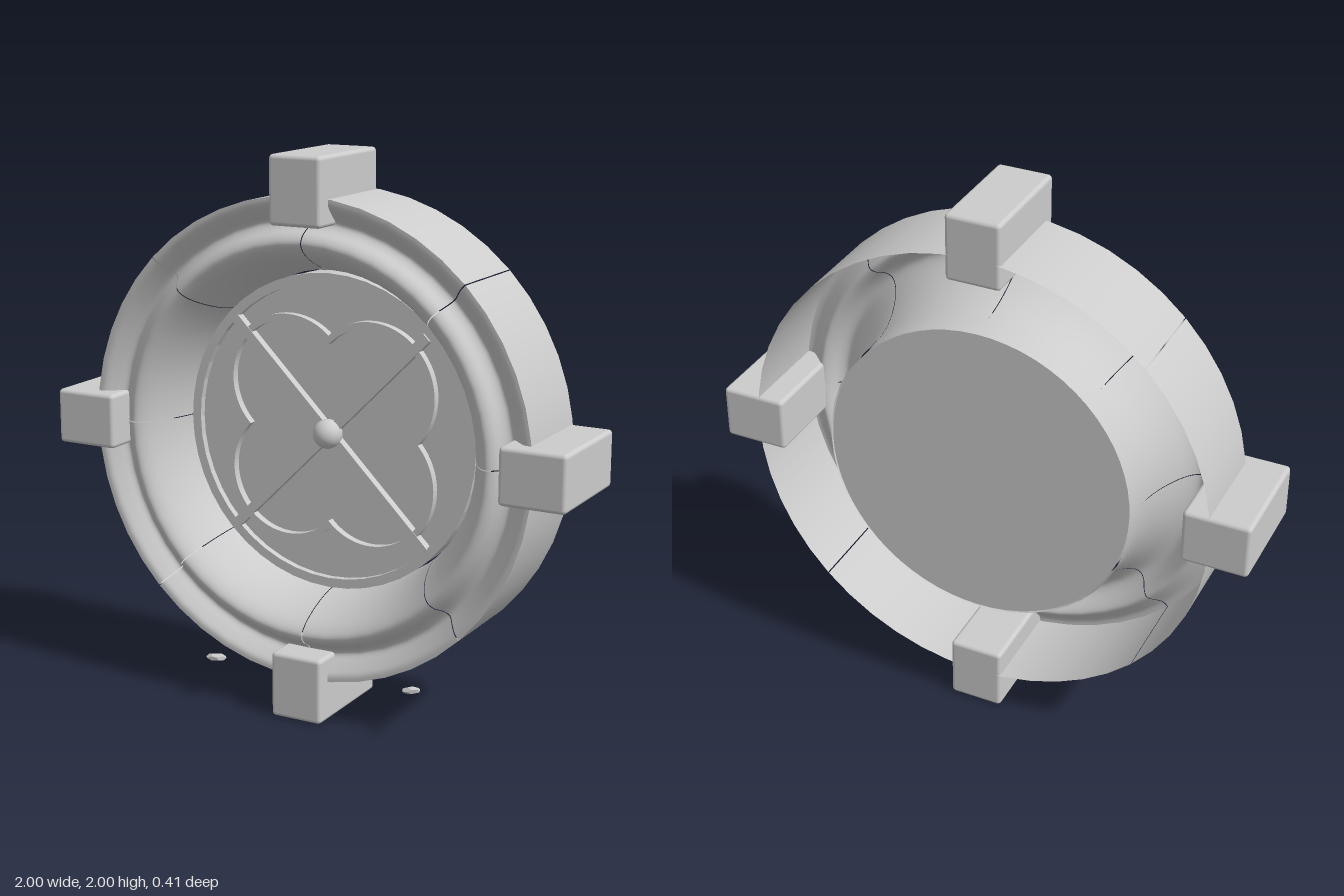
import * as THREE from 'three';
import { RoundedBoxGeometry } from 'three/addons/geometries/RoundedBoxGeometry.js';

const stone = new THREE.MeshStandardMaterial({ color: 0xcccccc, side: THREE.DoubleSide });
stone.name = 'stone grey';

const v2 = (x, y) => new THREE.Vector2(x, y);

// Adds a named mesh to a parent
function add(parent, name, geometry, x = 0, y = 0, z = 0) {
  const mesh = new THREE.Mesh(geometry, stone);
  mesh.name = name;
  mesh.position.set(x, y, z);
  parent.add(mesh);
  return mesh;
}

// Outline of four overlapping circular lobes centred on the diagonals
function quatrefoil(c, r, Type) {
  const path = new Type();
  const reach = Math.acos(-c / r);
  for (let i = 0; i < 4; i++) {
    const turn = Math.PI / 4 + i * Math.PI / 2;
    const half = reach - Math.PI / 4;
    path.absarc(c * Math.SQRT2 * Math.cos(turn), c * Math.SQRT2 * Math.sin(turn),
      r, turn - half, turn + half, false);
  }
  path.closePath();
  return path;
}

const extrude = (shape, depth) =>
  new THREE.ExtrudeGeometry(shape, { depth, bevelEnabled: false, curveSegments: 24 });

// Flattened angular chip
function chip(sx, sy, sz, turn) {
  const g = new THREE.DodecahedronGeometry(1, 0);
  g.rotateY(turn);
  g.scale(sx, sy, sz);
  g.rotateZ(turn * 0.15);
  g.computeVertexNormals();
  return g;
}

export function createModel() {
  const model = new THREE.Group();
  model.name = 'roundWindow';
  const win = new THREE.Group();
  win.name = 'window';
  win.position.y = 1;
  model.add(win);

  // Moulded surround: eight open-backed segments with fine joints
  const wall = [v2(0.86, -0.205), v2(0.86, 0.15)];
  const moulding = new THREE.SplineCurve([
    v2(0.86, 0.15), v2(0.835, 0.147), v2(0.805, 0.122), v2(0.775, 0.095),
    v2(0.75, 0.108), v2(0.725, 0.145), v2(0.695, 0.158), v2(0.66, 0.132),
    v2(0.625, 0.075), v2(0.595, 0), v2(0.578, -0.08), v2(0.575, -0.18),
  ]).getPoints(44);
  const gap = 0.005;
  for (let i = 0; i < 8; i++) {
    const start = i * Math.PI / 4 + gap / 2;
    const segment = new THREE.Group();
    segment.name = 'surroundSegment';
    segment.rotation.x = Math.PI / 2;
    win.add(segment);
    add(segment, 'outerWall', new THREE.LatheGeometry(wall, 6, start, Math.PI / 4 - gap));
    add(segment, 'moulding', new THREE.LatheGeometry(moulding, 6, start, Math.PI / 4 - gap));
  }

  // Four keystones
  for (let i = 0; i < 4; i++) {
    const a = i * Math.PI / 2;
    const block = add(win, 'keystone', new RoundedBoxGeometry(0.24, 0.2, 0.41, 3, 0.015),
      0.88 * Math.cos(a), 0.88 * Math.sin(a), 0);
    block.rotation.z = a;
  }

  // Pane and its raised rim
  const pane = new THREE.CylinderGeometry(0.568, 0.568, 0.115, 64);
  pane.rotateX(Math.PI / 2);
  add(win, 'pane', pane, 0, 0, -0.1225);
  const rim = new THREE.Shape().absarc(0, 0, 0.572, 0, Math.PI * 2, false);
  rim.holes.push(new THREE.Path().absarc(0, 0, 0.538, 0, Math.PI * 2, true));
  add(win, 'paneRim', extrude(rim, 0.025), 0, 0, -0.065);

  // Tracery: quatrefoil band and diagonal bars
  const foil = quatrefoil(0.165, 0.25, THREE.Shape);
  foil.holes.push(quatrefoil(0.165, 0.227, THREE.Path));
  add(win, 'quatrefoil', extrude(foil, 0.03), 0, 0, -0.065);
  for (const s of [1, -1]) {
    const bar = add(win, 'diagonalBar', new THREE.BoxGeometry(1.08, 0.035, 0.032), 0, 0, -0.048);
    bar.rotation.z = s * Math.PI / 4;
  }
  add(win, 'centreKnob', new THREE.SphereGeometry(0.053, 32, 20), 0, 0, -0.03);

  // Loose chips below the surround
  add(model, 'chipRight', chip(0.042, 0.014, 0.026, 0.5), -0.35, 0.165, 0.172);
  add(model, 'chipLeft', chip(0.038, 0.013, 0.02, 1.1), 0.44, 0.187, 0.17);

  return model;
}
